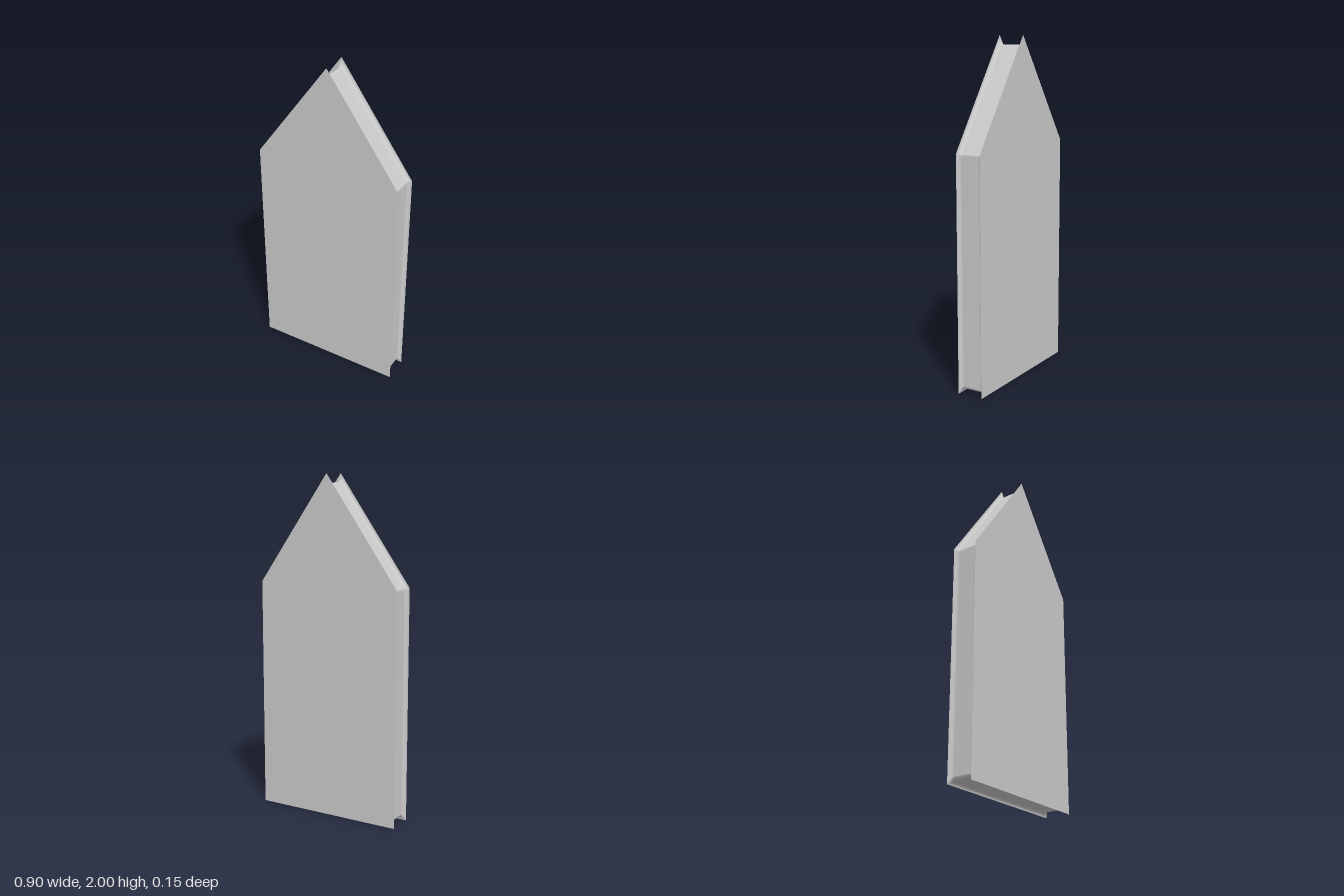
import * as THREE from 'three';

const HALF = 0.077;    // half thickness
const COVE = 0.023;    // depth and radius of the coved edge
const OUTLINE = [[0.45, 0], [0.45, 1.37], [0, 2], [-0.45, 1.37], [-0.45, 0]]
  .map(([x, y]) => new THREE.Vector2(x, y));
const CORNER_STEPS = 4;

// Outline moved inwards by d, with its corners rounded by r
function insetOutline(d, r) {
  const n = OUTLINE.length;
  const normals = OUTLINE.map((p, i) => {
    const e = OUTLINE[(i + 1) % n].clone().sub(p).normalize();
    return new THREE.Vector2(e.y, -e.x);
  });
  const points = [];
  OUTLINE.forEach((p, i) => {
    const a = normals[(i + n - 1) % n], b = normals[i];
    const mitre = a.clone().add(b).divideScalar(1 + a.dot(b));
    const centre = p.clone().addScaledVector(mitre, -(d + r));
    const start = Math.atan2(a.y, a.x);
    const turn = Math.acos(a.dot(b));
    for (let k = 0; k <= CORNER_STEPS; k++) {
      const t = start + turn * k / CORNER_STEPS;
      points.push(new THREE.Vector2(centre.x + r * Math.cos(t), centre.y + r * Math.sin(t)));
    }
  });
  return points;
}

// Channel wall lofted from front rim to back rim
function edgeGeometry() {
  const profile = [];
  const steps = 8;
  for (let i = 0; i <= steps; i++) {
    const t = i / steps * Math.PI / 2;
    profile.push([COVE * Math.sin(t), HALF - COVE * (1 - Math.cos(t))]);
  }
  const half = profile.slice();
  half.reverse().forEach(([d, z]) => profile.push([d, -z]));

  const positions = [], index = [];
  let count = 0;
  profile.forEach(([d, z]) => {
    const ring = insetOutline(d, d * 0.85);
    count = ring.length;
    ring.forEach(p => positions.push(p.x, p.y, z));
  });
  for (let j = 0; j < profile.length - 1; j++) {
    for (let i = 0; i < count; i++) {
      const a = j * count + i, b = j * count + (i + 1) % count;
      const c = a + count, e = b + count;
      index.push(a, c, b, b, c, e);
    }
  }
  const g = new THREE.BufferGeometry();
  g.setAttribute('position', new THREE.Float32BufferAttribute(positions, 3));
  g.setIndex(index);
  g.computeVertexNormals();
  return g;
}

export function createModel() {
  const group = new THREE.Group();
  group.name = 'gabledPanel';
  const material = new THREE.MeshStandardMaterial({ color: 0xcccccc, side: THREE.DoubleSide });

  // Flat pointed faces
  const face = new THREE.ShapeGeometry(new THREE.Shape(OUTLINE));
  const front = new THREE.Mesh(face, material);
  front.name = 'frontFace';
  front.position.z = HALF;
  const back = new THREE.Mesh(face, material);
  back.name = 'backFace';
  back.rotation.y = Math.PI;
  back.position.z = -HALF;

  // Coved groove all round
  const edge = new THREE.Mesh(edgeGeometry(), material);
  edge.name = 'grooveEdge';

  group.add(front, back, edge);
  return group;
}
